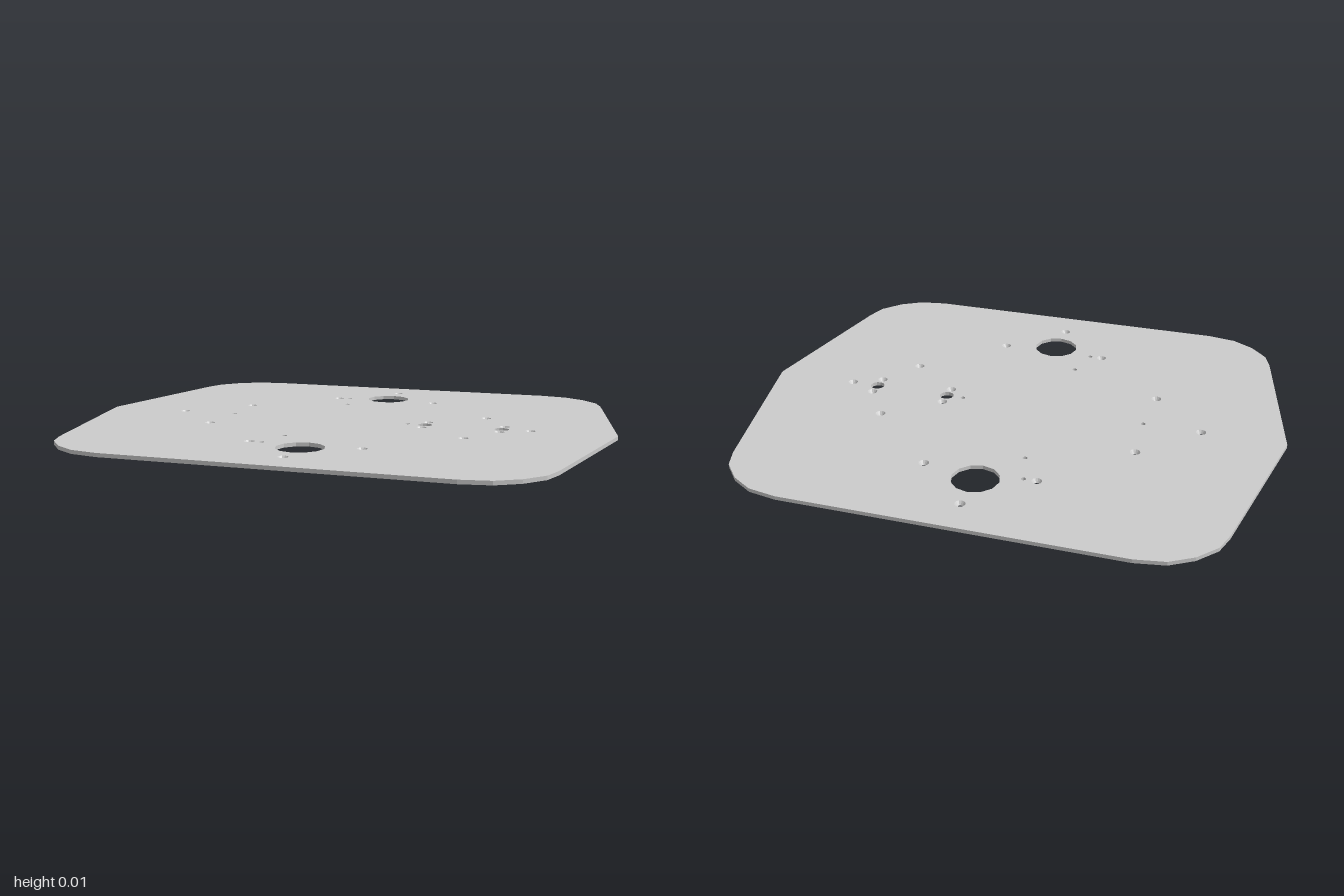
import * as THREE from 'three';

const T = 0.014; // plate thickness
const SIDES = 12;

export function createModel() {
  const group = new THREE.Group();
  group.name = 'mountingPlate';
  const material = new THREE.MeshStandardMaterial({ color: 0xcccccc, flatShading: true, side: THREE.DoubleSide });
  const add = (name, geometry) => {
    const mesh = new THREE.Mesh(geometry, material);
    mesh.name = name;
    group.add(mesh);
    return mesh;
  };

  // Outline: one quarter, mirrored into all four
  const quarter = [[1, 0], [0.992, 0.04], [0.877, 0.615], [0.852, 0.69], [0.79, 0.76], [0.71, 0.808], [0.605, 0.826]];
  const half = [...quarter, ...quarter.slice().reverse().map(([x, z]) => [-x, z])];
  const outline = [...half, ...half.slice(1, -1).reverse().map(([x, z]) => [x, -z])]
    .map(([x, z]) => new THREE.Vector2(x, z));

  // Holes: position, radius on the top face, radius on the bottom face
  const holes = [];
  const hole = (name, x, z, top, bottom = top) => holes.push({ name, x, z, top, bottom });
  const countersunk = (x, z) => hole('countersunkHole', x, z, 0.019, 0.009);
  for (const s of [-1, 1]) {
    hole('largeHole', 0, s * 0.532, 0.086);
    countersunk(0, s * 0.69);
    countersunk(s * 0.69, 0);
    for (const x of [-1, 1]) {
      countersunk(x * 0.205, s * 0.487);
      countersunk(x * 0.487, s * 0.205);
    }
    for (const x of [0.296, 0.585]) countersunk(x, s * 0.052);
    hole('pilotHole', -0.158, s * 0.487, 0.009);
    hole('pilotHole', -0.125, s * 0.355, 0.009);
  }
  for (const x of [-0.476, 0.23]) hole('pilotHole', x, 0, 0.009);
  for (const x of [0.296, 0.585]) hole('mediumHole', x, 0, 0.027);

  // Flat faces, pierced by the hole radii of that side
  const face = (side) => {
    const shape = new THREE.Shape(outline);
    for (const h of holes) {
      const ring = Array.from({ length: SIDES }, (_, i) => {
        const a = -i / SIDES * Math.PI * 2;
        return new THREE.Vector2(h.x + Math.cos(a) * h[side], h.z + Math.sin(a) * h[side]);
      });
      shape.holes.push(new THREE.Path(ring));
    }
    // holes are symmetric in z, so the rotation that flips z is harmless
    return new THREE.ShapeGeometry(shape).rotateX(side === 'top' ? -Math.PI / 2 : Math.PI / 2);
  };
  add('topFace', face('top')).position.y = T;
  add('bottomFace', face('bottom'));

  // Outer edge
  const positions = [];
  outline.forEach((a, i) => {
    const b = outline[(i + 1) % outline.length];
    positions.push(a.x, 0, a.y, a.x, T, a.y, b.x, T, b.y);
    positions.push(a.x, 0, a.y, b.x, T, b.y, b.x, 0, b.y);
  });
  const rim = new THREE.BufferGeometry();
  rim.setAttribute('position', new THREE.Float32BufferAttribute(positions, 3));
  rim.computeVertexNormals();
  add('outerEdge', rim);

  // Hole walls; countersunk ones taper
  for (const h of holes) {
    const wall = new THREE.CylinderGeometry(h.top, h.bottom, T, SIDES, 1, true);
    add(h.name, wall).position.set(h.x, T / 2, h.z);
  }
  return group;
}
